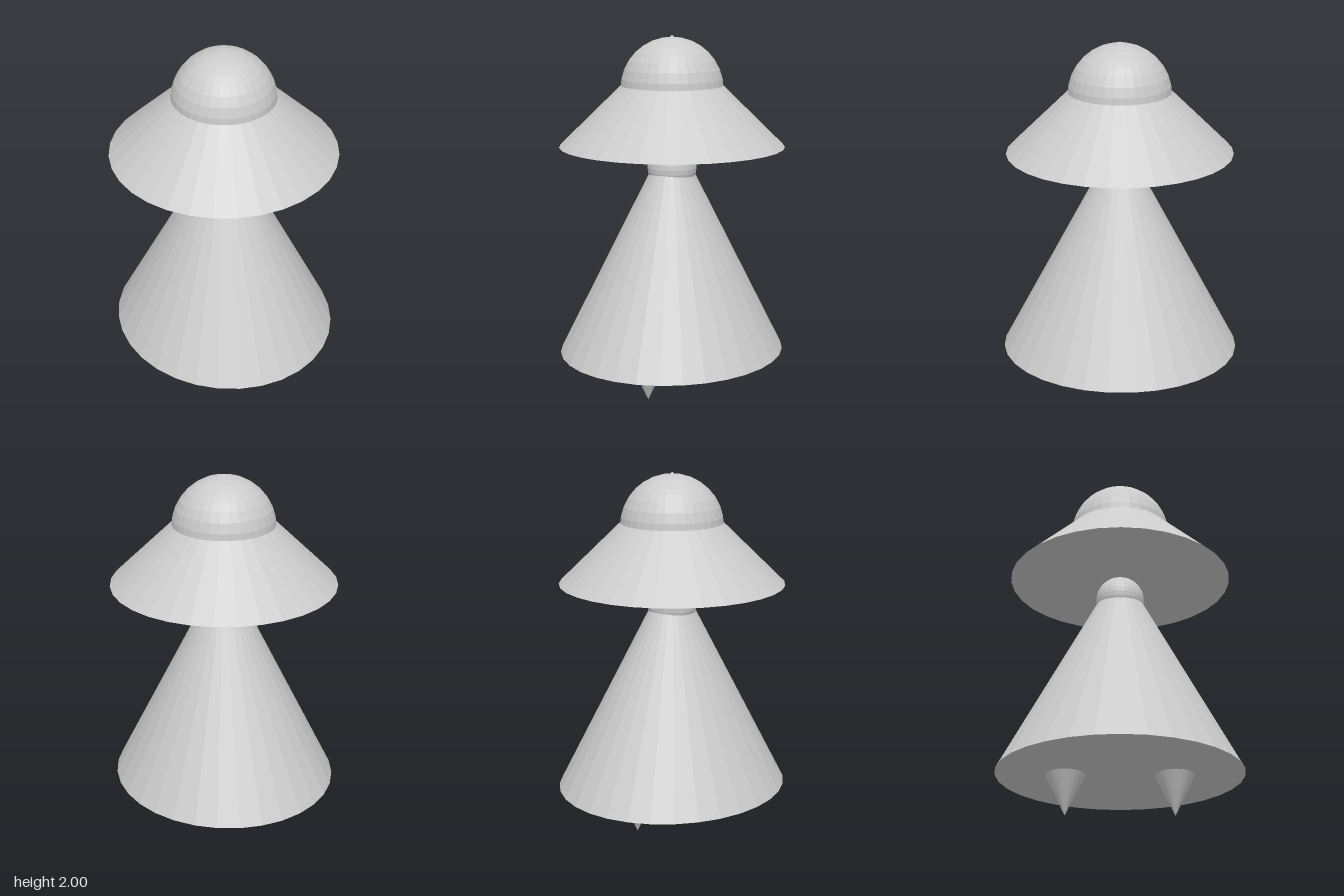
import * as THREE from 'three';

const material = new THREE.MeshStandardMaterial({ color: 0xcccccc, flatShading: true });
const SEGMENTS = 32;

// Closed cone given by its base height and tip height (a tip below the base points down)
function cone(name, radius, baseY, tipY) {
  const height = Math.abs(tipY - baseY);
  const mesh = new THREE.Mesh(new THREE.ConeGeometry(radius, height, SEGMENTS), material);
  mesh.name = name;
  mesh.position.y = (baseY + tipY) / 2;
  if (tipY < baseY) mesh.rotation.x = Math.PI;
  return mesh;
}

function ball(name, radius, y) {
  const mesh = new THREE.Mesh(new THREE.SphereGeometry(radius, SEGMENTS, 16), material);
  mesh.name = name;
  mesh.position.y = y;
  return mesh;
}

export function createModel() {
  const group = new THREE.Group();
  group.name = 'figure';

  // Skirt-like body, slightly deeper than wide
  const body = cone('body', 0.622, 0.225, 1.49);
  body.scale.z = 1.08;
  group.add(body);

  // Head resting on the body, under the hat
  group.add(ball('head', 0.137, 1.27));

  // Hat: wide cone whose tip just breaks through the dome
  group.add(cone('hatBrim', 0.625, 1.39, 2));
  group.add(ball('hatDome', 0.284, 1.705));

  // Pointed feet, front and back
  for (const side of [1, -1]) {
    const foot = cone(side > 0 ? 'frontFoot' : 'backFoot', 0.11, 0.23, 0);
    foot.position.z = side * 0.293;
    group.add(foot);
  }

  return group;
}
